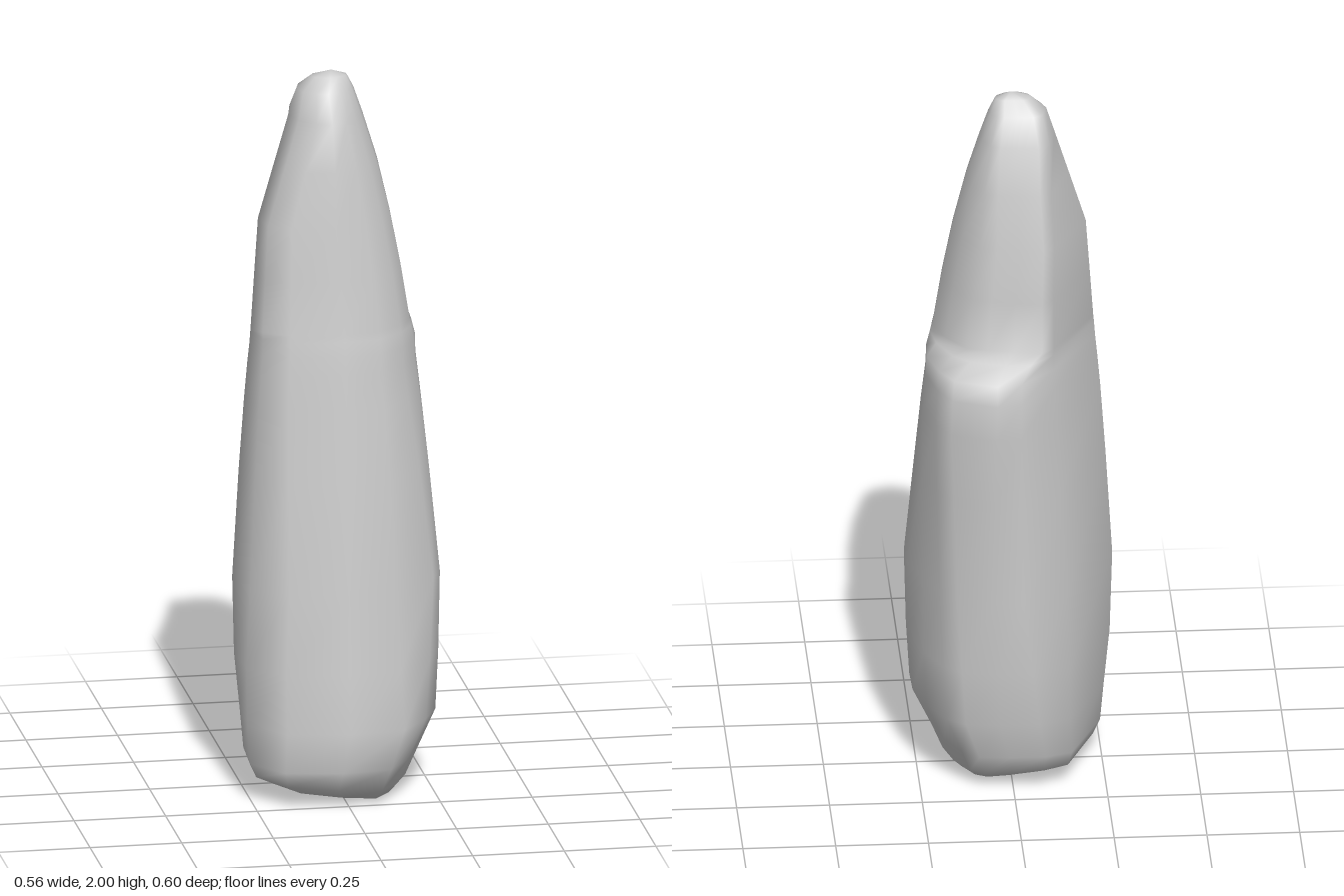
import * as THREE from 'three';

// Cross-sections as [x, z], counter-clockwise seen from above, starting at the front.
const FOOT = [[0, 0.3], [0.15, 0.285], [0.22, 0.19], [0.262, 0.1], [0.26, 0], [0.23, -0.1], [0.18, -0.19],
  [0.13, -0.225], [0.04, -0.235], [-0.07, -0.235], [-0.15, -0.21], [-0.25, 0], [-0.26, 0.16], [-0.17, 0.27]];
const BELLY = [[0, 0.265], [0.13, 0.25], [0.25, 0.14], [0.278, 0.08], [0.275, 0], [0.24, -0.09], [0.2, -0.185],
  [0.155, -0.235], [0.06, -0.27], [-0.02, -0.275], [-0.14, -0.225], [-0.278, 0.03], [-0.255, 0.18], [-0.16, 0.245]];
const SHOULDER = [[0, 0.204], [0.1, 0.19], [0.17, 0.13], [0.21, 0.07], [0.225, 0], [0.23, -0.08], [0.205, -0.18],
  [0.168, -0.25], [0.05, -0.297], [-0.015, -0.285], [-0.11, -0.19], [-0.238, 0.03], [-0.217, 0.13], [-0.15, 0.185]];
const SPIRE = [[0, 0.19], [0.1, 0.175], [0.165, 0.12], [0.2, 0.065], [0.208, 0], [0.178, -0.08], [0.125, -0.155],
  [0.07, -0.17], [0, -0.185], [-0.075, -0.198], [-0.11, -0.17], [-0.229, 0.03], [-0.213, 0.125], [-0.145, 0.172]];
const TIP = [[-0.02, 0.122], [0.02, 0.105], [0.05, 0.07], [0.07, 0.04], [0.08, 0], [0.075, -0.05], [0.055, -0.09],
  [0.03, -0.1], [-0.02, -0.105], [-0.07, -0.108], [-0.1, -0.085], [-0.118, 0], [-0.1, 0.06], [-0.06, 0.105]];
const SECTIONS = [FOOT, BELLY, SHOULDER, SPIRE, TIP];

// Rings: y, left x, right x, back z, front z, position along SECTIONS, tilt along x
const RINGS = [
  [0.003, -0.18, 0.15, -0.13, 0.225, 0, 0.11],
  [0.04, -0.235, 0.18, -0.185, 0.265, 0, 0.07],
  [0.11, -0.255, 0.21, -0.213, 0.295, 0, 0],
  [0.22, -0.262, 0.262, -0.24, 0.3, 0.1, 0],
  [0.38, -0.272, 0.272, -0.262, 0.283, 0.5, 0],
  [0.6, -0.28, 0.278, -0.275, 0.264, 1, 0],
  [0.9, -0.262, 0.255, -0.29, 0.235, 1.5, 0],
  [1.1, -0.248, 0.238, -0.3, 0.215, 1.9, 0],
  [1.2, -0.239, 0.23, -0.298, 0.205, 2, 0],
  [1.25, -0.234, 0.226, -0.275, 0.199, 2.05, 0],
  [1.29, -0.231, 0.213, -0.228, 0.194, 2.5, 0],
  [1.31, -0.229, 0.206, -0.198, 0.19, 3, 0],
  [1.45, -0.219, 0.184, -0.188, 0.174, 3, 0],
  [1.6, -0.208, 0.155, -0.172, 0.158, 3.1, 0],
  [1.75, -0.162, 0.12, -0.142, 0.141, 3.6, 0],
  [1.88, -0.122, 0.08, -0.108, 0.122, 4, 0],
  [1.95, -0.1, 0.056, -0.064, 0.066, 4, 0],
  [1.985, -0.06, 0.038, -0.028, 0.03, 4, 0],
];

// Blend two neighbouring sections and fit the result to the ring's extents
function ringPoints([y, x0, x1, z0, z1, position, tilt]) {
  const s = Math.min(Math.floor(position), SECTIONS.length - 2);
  const pts = SECTIONS[s].map((p, i) =>
    new THREE.Vector2(...p).lerp(new THREE.Vector2(...SECTIONS[s + 1][i]), position - s));
  const box = new THREE.Box2().setFromPoints(pts);
  return pts.map((p) => {
    const x = THREE.MathUtils.mapLinear(p.x, box.min.x, box.max.x, x0, x1);
    const z = THREE.MathUtils.mapLinear(p.y, box.min.y, box.max.y, z0, z1);
    return [x, y + tilt * (0.15 - x), z];
  });
}

function loft(rings, bottom, top) {
  const n = rings[0].length;
  const positions = [...rings.flat(), bottom, top].flat();
  const low = rings.length * n, high = low + 1, last = low - n;
  const index = [];
  for (let i = 0; i < n; i++) {
    const j = (i + 1) % n;
    for (let r = 0; r < rings.length - 1; r++) {
      const a = r * n + i, b = r * n + j;
      index.push(a, b, b + n, a, b + n, a + n);
    }
    index.push(low, j, i, high, last + i, last + j);
  }
  const geometry = new THREE.BufferGeometry();
  geometry.setAttribute('position', new THREE.Float32BufferAttribute(positions, 3));
  geometry.setIndex(index);
  geometry.computeVertexNormals();
  return geometry;
}

export function createModel() {
  const group = new THREE.Group();
  group.name = 'standingRock';
  // Tapering stone with a ledge on its back right side
  const stone = new THREE.Mesh(
    loft(RINGS.map(ringPoints), [0.02, 0.005, 0.04], [-0.005, 2, 0]),
    new THREE.MeshStandardMaterial({ color: 0xcccccc }),
  );
  stone.name = 'stone';
  group.add(stone);
  return group;
}
